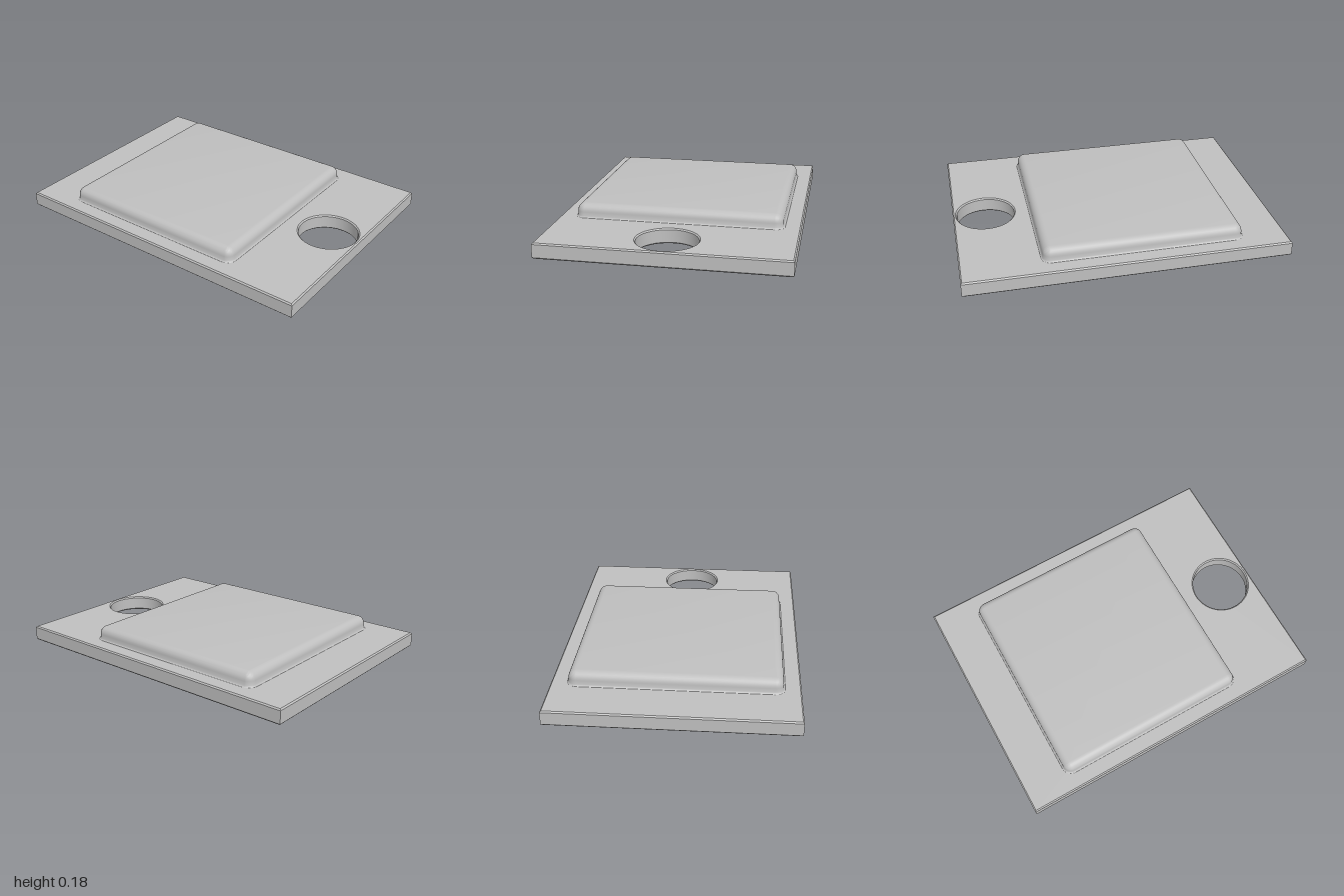
import * as THREE from 'three';
import { toCreasedNormals } from 'three/addons/utils/BufferGeometryUtils.js';

const PLATE = { halfX: 0.74, halfZ: 1, height: 0.095, bevel: 0.008 };
const HOLE = { z: 0.793, radius: 0.183 };
const PAD = { coreX: 0.585, coreZ: 0.565, z: -0.105, edge: 0.05, top: 0.18 };

// Flat plate with fine chamfers and a round through-hole near the front
function plateGeometry() {
  const { halfX, halfZ, height, bevel } = PLATE;
  const shape = new THREE.Shape([
    new THREE.Vector2(-halfX, -halfZ), new THREE.Vector2(halfX, -halfZ),
    new THREE.Vector2(halfX, halfZ), new THREE.Vector2(-halfX, halfZ),
  ]);
  const hole = new THREE.Path();
  hole.absarc(0, -HOLE.z, HOLE.radius, 0, Math.PI * 2, true);
  shape.holes.push(hole);
  const geometry = new THREE.ExtrudeGeometry(shape, {
    depth: height - 2 * bevel, curveSegments: 32,
    bevelEnabled: true, bevelSegments: 1,
    bevelThickness: bevel, bevelSize: bevel, bevelOffset: -bevel,
  });
  geometry.rotateX(-Math.PI / 2).translate(0, bevel, 0);
  return toCreasedNormals(geometry, 0.5);
}

// Raised pad: rounded-rectangle rings swept up a filleted profile
function padGeometry() {
  const { coreX, coreZ, z, edge, top } = PAD;
  const profile = [[0.062, 0.094], [0.055, 0.098], [0.051, 0.106]]; // base flare
  const arcSteps = 8, cornerSteps = 8;
  for (let i = 0; i <= arcSteps; i++) {
    const a = (i / arcSteps) * Math.PI / 2;
    profile.push([edge * Math.cos(a), top - edge + edge * Math.sin(a)]);
  }

  const positions = [], indices = [];
  const count = 4 * (cornerSteps + 1);
  const corners = [[1, 1], [-1, 1], [-1, -1], [1, -1]];
  for (const [r, y] of profile) {
    corners.forEach(([sx, sz], c) => {
      for (let k = 0; k <= cornerSteps; k++) {
        const a = (c + k / cornerSteps) * Math.PI / 2;
        positions.push(sx * coreX + r * Math.cos(a), y, z + sz * coreZ + r * Math.sin(a));
      }
    });
  }
  for (let i = 0; i < profile.length - 1; i++) {
    for (let j = 0; j < count; j++) {
      const a = i * count + j, b = i * count + (j + 1) % count;
      indices.push(a, a + count, b, b, a + count, b + count);
    }
  }
  // Flat top
  const last = (profile.length - 1) * count, step = cornerSteps + 1;
  const [p, q, s, t] = [0, 1, 2, 3].map((c) => last + c * step);
  indices.push(p, s, q, p, t, s);

  const geometry = new THREE.BufferGeometry();
  geometry.setAttribute('position', new THREE.Float32BufferAttribute(positions, 3));
  geometry.setIndex(indices);
  return toCreasedNormals(geometry, 0.6);
}

export function createModel() {
  const model = new THREE.Group();
  model.name = 'plateWithPad';
  const grey = new THREE.MeshStandardMaterial({ color: 0xbfbfbf });
  grey.name = 'light grey';

  const plate = new THREE.Mesh(plateGeometry(), grey);
  plate.name = 'basePlate';
  const pad = new THREE.Mesh(padGeometry(), grey);
  pad.name = 'raisedPad';
  model.add(plate, pad);
  return model;
}
